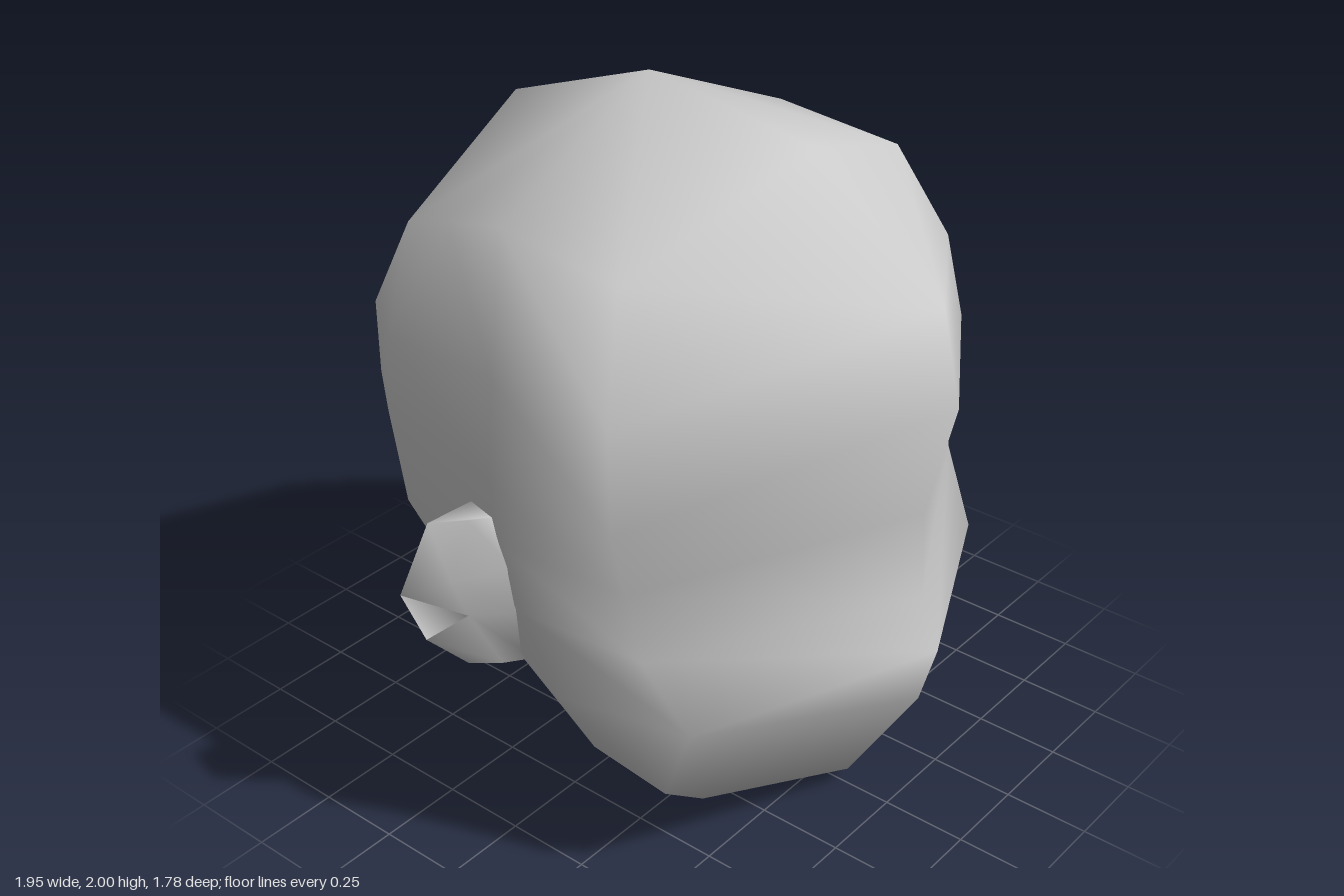
import * as THREE from 'three';

const skin = new THREE.MeshStandardMaterial({ color: 0xcccccc, side: THREE.DoubleSide });
skin.name = 'skinGrey';

// Half rings from the crown to the neck: front ridge, cheek, side, rear side, rear corner, back ridge
const crown = [0, 2, -0.12];
const skullRings = [
  [[0, 1.92, 0.42], [0.59, 1.71, 0.28], [0.58, 1.75, -0.12], [0.51, 1.67, -0.38], [0.41, 1.56, -0.64], [0, 1.83, -0.61]],
  [[0, 1.6, 0.83], [0.74, 1.41, 0.37], [0.75, 1.43, 0], [0.71, 1.4, -0.42], [0.48, 1.32, -0.72], [0, 1.4, -0.89]],
  [[0, 1.34, 0.89], [0.78, 1.15, 0.41], [0.78, 1.15, 0], [0.71, 1.17, -0.44], [0.48, 1.1, -0.72], [0, 1.15, -0.875]],
  [[0, 1.0, 0.81], [0.74, 0.96, 0.42], [0.76, 0.95, 0], [0.7, 0.9, -0.4], [0.46, 0.88, -0.69], [0, 0.87, -0.86]],
];
const jawRings = [
  [[0, 0.74, 0.82], [0.71, 0.75, 0.44], [0.73, 0.74, 0.04], [0.65, 0.73, -0.33], [0.42, 0.73, -0.59], [0, 0.73, -0.755]],
  [[0, 0.59, 0.88], [0.66, 0.54, 0.56], [0.71, 0.5, 0.14], [0.59, 0.54, -0.23], [0.37, 0.57, -0.49], [0, 0.59, -0.65]],
  [[0, 0.41, 0.83], [0.64, 0.29, 0.46], [0.62, 0.3, 0.19], [0.49, 0.33, -0.13], [0.28, 0.37, -0.36], [0, 0.39, -0.5]],
  [[0, 0.05, 0.61], [0.48, 0.17, 0.46], [0.43, 0.17, 0.19], [0.36, 0.21, -0.12], [0.19, 0.25, -0.31], [0, 0.27, -0.41]],
  // diamond-shaped neck opening
  [[0, 0, 0.11], [0.07, 0.043, 0.027], [0.14, 0.087, -0.057], [0.21, 0.13, -0.14], [0.105, 0.165, -0.25], [0, 0.2, -0.36]],
];

function meshFrom(name, points, index) {
  const geometry = new THREE.BufferGeometry();
  geometry.setAttribute('position', new THREE.Float32BufferAttribute(points.flat(), 3));
  geometry.setIndex(index);
  geometry.computeVertexNormals();
  const mesh = new THREE.Mesh(geometry, skin);
  mesh.name = name;
  return mesh;
}

// Mirrored rings of ten points, closed at the crown and open at the neck
function makeHead() {
  const n = 10;
  const rings = [...skullRings, ...jawRings];
  const points = [crown];
  for (const half of rings) {
    const mirrored = half.slice(1, 5).reverse().map(([x, y, z]) => [-x, y, z]);
    points.push(...half, ...mirrored);
  }
  const id = (r, c) => 1 + r * n + (c % n);
  const index = [];
  for (let c = 0; c < n; c++) {
    index.push(0, id(0, c), id(0, c + 1));
    for (let r = 0; r < rings.length - 1; r++) {
      const a = id(r, c), b = id(r, c + 1), d = id(r + 1, c), e = id(r + 1, c + 1);
      // mirror the diagonals so both halves match
      if (c < 5) index.push(a, d, b, b, d, e);
      else index.push(a, d, e, a, e, b);
    }
  }
  return meshFrom('head', points, index);
}

// Cupped ear: front root, inner fold, rim and back root, from top to lobe
function makeEar(name, side, drop) {
  const rows = [
    [[0.74, 1.05, -0.01], [0.82, 1.055, -0.06], [0.9, 1.06, -0.125], [0.7, 1.06, -0.11]],
    [[0.74, 0.9, 0.01], [0.87, 0.88, -0.08], [0.975, 0.86, -0.165], [0.68, 0.88, -0.13]],
    [[0.71, 0.74, 0.01], [0.82, 0.75, -0.08], [0.91, 0.69, -0.15], [0.62, 0.72, -0.14]],
    [[0.66, 0.56, 0], [0.73, 0.56, -0.05], [0.79, 0.56, -0.12], [0.55, 0.57, -0.12]],
  ];
  const points = rows.flat().map(([x, y, z]) => [x * side, y - drop, z + drop * 0.8]);
  const triangles = [[0, 1, 2], [0, 2, 3], [12, 14, 13], [12, 15, 14]]; // top and lobe caps
  for (let r = 0; r < 3; r++) {
    for (let c = 0; c < 3; c++) {
      const a = r * 4 + c;
      triangles.push([a, a + 4, a + 1], [a + 1, a + 4, a + 5]);
    }
  }
  const index = triangles.flatMap(([a, b, c]) => (side > 0 ? [a, b, c] : [a, c, b]));
  return meshFrom(name, points, index);
}

export function createModel() {
  const group = new THREE.Group();
  group.name = 'headBust';
  group.add(makeHead(), makeEar('leftEar', 1, 0), makeEar('rightEar', -1, 0.02));
  return group;
}
